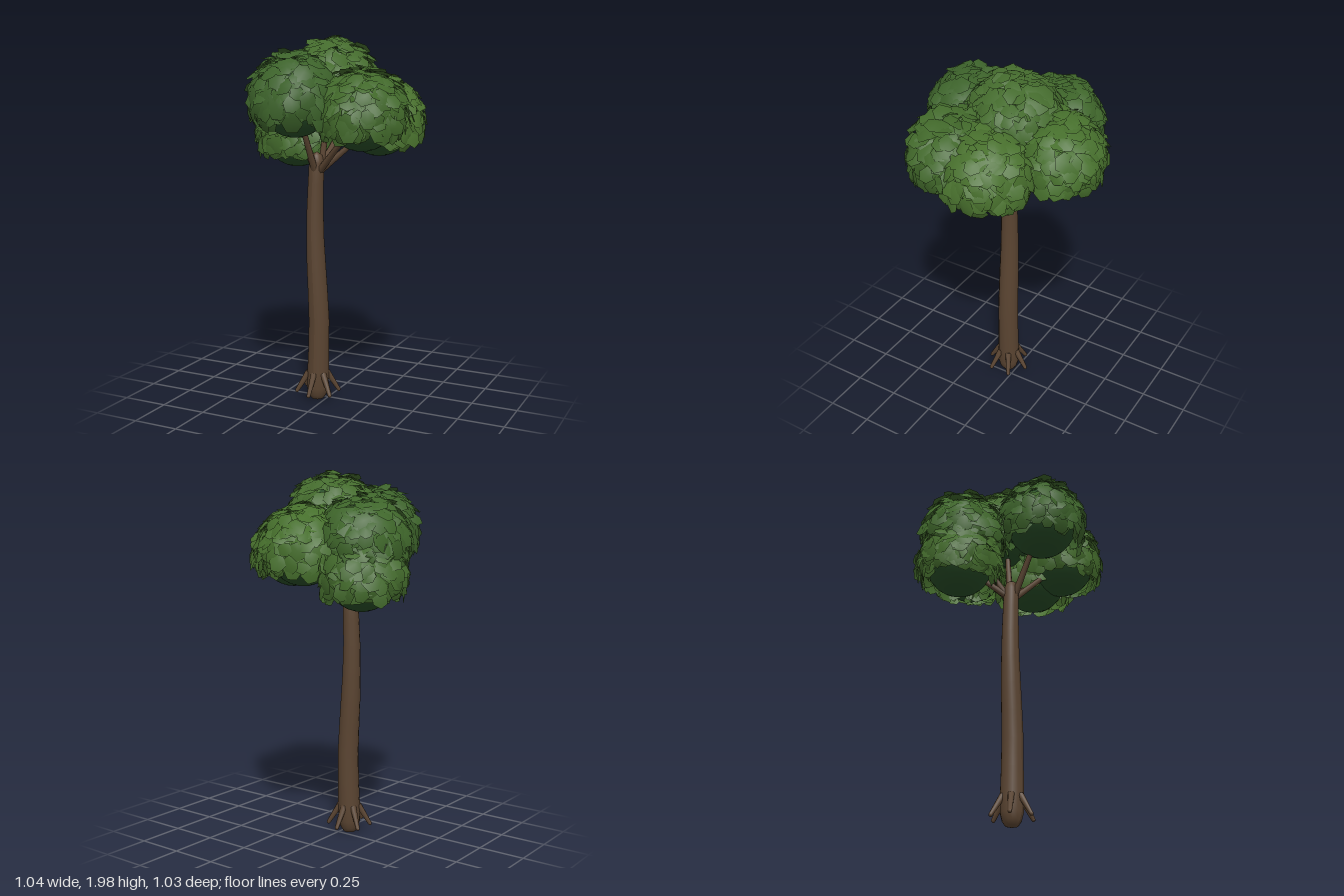
import * as THREE from 'three';
import { mergeGeometries } from 'three/addons/utils/BufferGeometryUtils.js';

const V = (x, y, z) => new THREE.Vector3(x, y, z);

// Small seeded random generator
let seed = 7;
const rand = (a = 0, b = 1) => {
  seed = (seed * 16807) % 2147483647;
  return a + (b - a) * (seed / 2147483647);
};

// Leaf clumps: centre, core radius, leaf colour
const clumps = [
  { name: 'leftLow', c: V(-0.26, 1.445, -0.15), r: 0.185, color: 0x42692b },
  { name: 'leftHigh', c: V(-0.25, 1.61, -0.13), r: 0.19, color: 0x3e652a },
  { name: 'top', c: V(0.01, 1.725, -0.03), r: 0.19, color: 0x446b2d },
  { name: 'back', c: V(0.01, 1.57, -0.28), r: 0.185, color: 0x466f2c },
  { name: 'right', c: V(0.28, 1.54, -0.03), r: 0.185, color: 0x48702d },
  { name: 'frontRight', c: V(0.27, 1.58, 0.17), r: 0.185, color: 0x41682a },
  { name: 'front', c: V(-0.06, 1.65, 0.26), r: 0.19, color: 0x3c622a },
];

// Trunk centre line
const spine = new THREE.CatmullRomCurve3([
  V(-0.045, 0, 0.045), V(-0.04, 0.2, 0.043), V(-0.035, 0.45, 0.043),
  V(-0.05, 0.75, 0.044), V(-0.057, 1.0, 0.045), V(-0.045, 1.37, 0.045),
]);

// Trunk: a turned profile bent along the centre line
function trunkGeometry() {
  const profile = [[0, 0], [0.034, 0.005], [0.05, 0.03], [0.06, 0.07], [0.061, 0.15], [0.058, 0.3],
    [0.057, 0.45], [0.055, 0.6], [0.053, 0.75], [0.049, 0.9], [0.046, 1.05], [0.043, 1.2],
    [0.041, 1.31], [0.03, 1.35], [0, 1.37]];
  const geo = new THREE.LatheGeometry(profile.map(([r, y]) => new THREE.Vector2(r, y)), 14);
  const pos = geo.attributes.position;
  const heights = spine.getPoints(80);
  for (let i = 0; i < pos.count; i++) {
    const y = pos.getY(i);
    const k = Math.max(1, heights.findIndex((p) => p.y >= y - 1e-6));
    const a = heights[k - 1], b = heights[k];
    const p = a.clone().lerp(b, THREE.MathUtils.clamp((y - a.y) / (b.y - a.y), 0, 1));
    pos.setX(i, pos.getX(i) + p.x);
    pos.setZ(i, pos.getZ(i) + p.z);
  }
  geo.computeVertexNormals();
  return geo;
}

// Tapered limb between two points
function limb(from, to, r0, r1, material, name) {
  const dir = to.clone().sub(from);
  const mesh = new THREE.Mesh(new THREE.CylinderGeometry(r1, r0, dir.length(), 8), material);
  mesh.position.copy(from).addScaledVector(dir, 0.5);
  mesh.quaternion.setFromUnitVectors(V(0, 1, 0), dir.normalize());
  mesh.name = name;
  return mesh;
}

// One leaf: a broad, angular blade, slightly domed, centred on a point
function leafGeometry(centre, out, along, size) {
  const side = along.clone().cross(out).normalize();
  const up = side.clone().cross(along).normalize();
  const outline = [[0, -0.5, 0], [0.4, -0.36, -0.06], [0.5, 0.18, -0.1], [0.1, 0.58, -0.12],
    [-0.36, 0.42, -0.12], [-0.5, -0.1, -0.08]];
  const points = [[0, 0, 0.05], ...outline].map(([u, v, w]) => centre.clone()
    .addScaledVector(side, u * size).addScaledVector(along, v * size).addScaledVector(up, w * size));
  const index = [];
  for (let i = 0; i < 6; i++) index.push(0, 1 + i, 1 + ((i + 1) % 6));
  const geo = new THREE.BufferGeometry().setFromPoints(points);
  geo.setIndex(index);
  geo.computeVertexNormals();
  return geo;
}

// Loose, ragged shell of leaves, omitting the underside and anything buried
function foliageGeometry(clump, count = 460) {
  const leaves = [];
  for (let i = 0; i < count; i++) {
    const y = THREE.MathUtils.clamp(1 - (1.45 * (i + 0.5)) / count + rand(-0.05, 0.05), -1, 1);
    const a = i * 2.39996 + rand(-0.3, 0.3);
    const s = Math.sqrt(1 - y * y);
    const n = V(s * Math.cos(a), y, s * Math.sin(a));
    const centre = clump.c.clone().addScaledVector(n, clump.r * rand(1.03, 1.3));
    if (clumps.some((o) => o !== clump && o.c.distanceTo(centre) < o.r)) continue;
    const down = V(rand(-0.4, 0.4), -1, rand(-0.4, 0.4));
    const along = down.addScaledVector(n, -down.dot(n)).normalize()
      .applyAxisAngle(n, rand(-0.9, 0.9)).addScaledVector(n, rand(0.05, 0.75)).normalize();
    leaves.push(leafGeometry(centre, n, along, rand(0.07, 0.105)));
  }
  return mergeGeometries(leaves);
}

export function createModel() {
  seed = 7;
  const tree = new THREE.Group();
  tree.name = 'tree';
  const bark = new THREE.MeshStandardMaterial({ color: 0x5a4431 });
  const coreMaterial = new THREE.MeshStandardMaterial({ color: 0x264a25 });

  const trunk = new THREE.Mesh(trunkGeometry(), bark);
  trunk.name = 'trunk';
  tree.add(trunk);

  // Roots splayed around the base
  const roots = new THREE.Group();
  roots.name = 'roots';
  for (let i = 0; i < 6; i++) {
    const a = (i / 6) * Math.PI * 2;
    const at = (r, y) => V(-0.042 + r * Math.sin(a), y, 0.045 + r * Math.cos(a));
    const tip = at(0.115, 0.05);
    roots.add(limb(at(0.05, 0.155), tip, 0.018, 0.011, bark, 'root'));
    const end = new THREE.Mesh(new THREE.SphereGeometry(0.011, 8, 6), bark);
    end.position.copy(tip);
    end.name = 'rootTip';
    roots.add(end);
  }
  tree.add(roots);

  // Branches fanning from the trunk top into each clump
  const branches = new THREE.Group();
  branches.name = 'branches';
  for (const { c } of clumps) {
    const start = V(-0.045, 1.27, 0.045);
    const flat = V(c.x - start.x, 0, c.z - start.z).normalize();
    start.addScaledVector(flat, 0.022);
    branches.add(limb(start, c, 0.019, 0.011, bark, 'branch'));
  }
  tree.add(branches);

  // Canopy: a dark ball inside each shell of leaves
  const canopy = new THREE.Group();
  canopy.name = 'canopy';
  for (const clump of clumps) {
    const core = new THREE.Mesh(new THREE.SphereGeometry(clump.r, 24, 16), coreMaterial);
    core.position.copy(clump.c);
    core.name = clump.name + 'Core';
    const leafMaterial = new THREE.MeshStandardMaterial({ color: clump.color, side: THREE.DoubleSide });
    const leaves = new THREE.Mesh(foliageGeometry(clump), leafMaterial);
    leaves.name = clump.name + 'Leaves';
    canopy.add(core, leaves);
  }
  tree.add(canopy);
  return tree;
}
